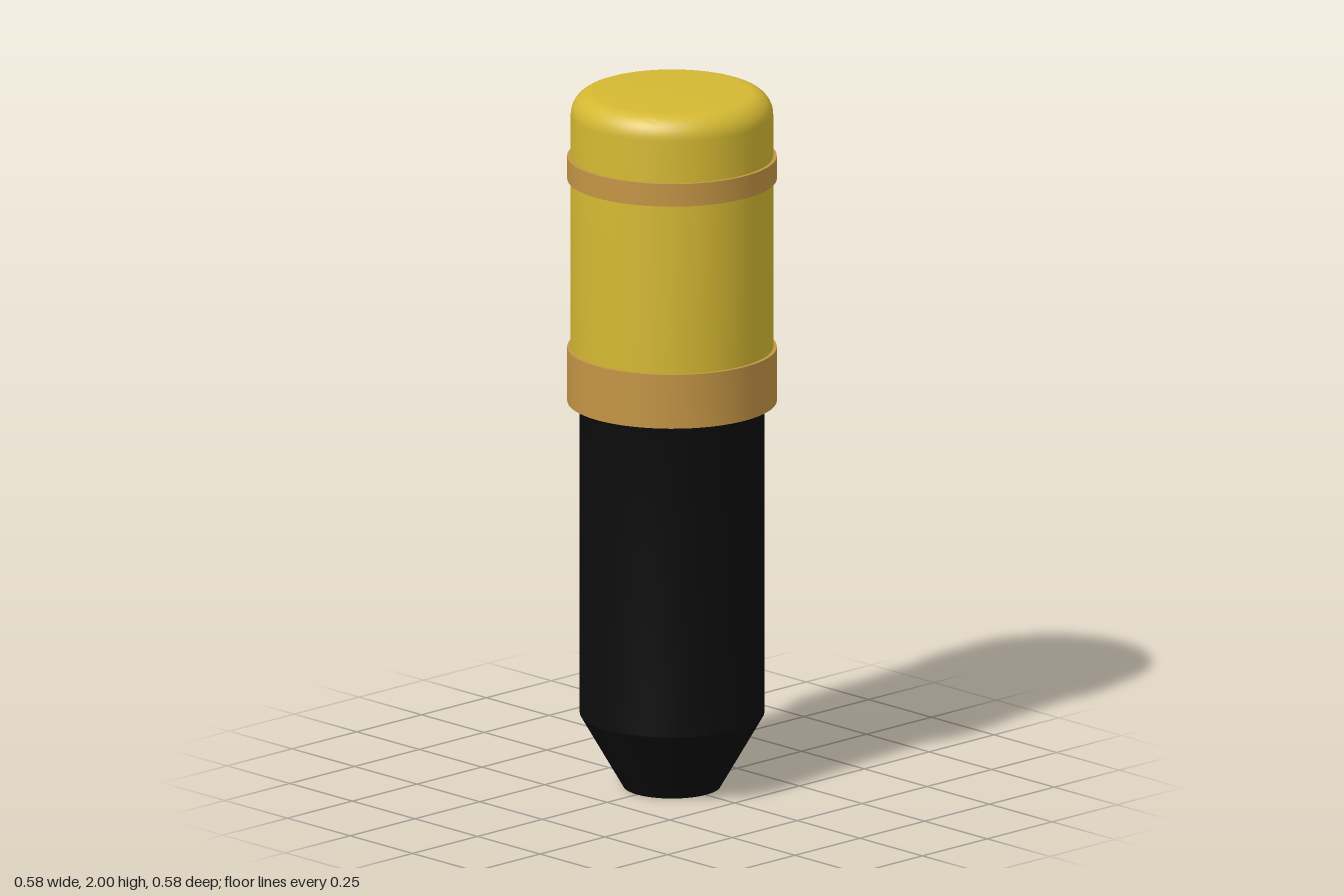
import * as THREE from 'three';
import { toCreasedNormals } from 'three/addons/utils/BufferGeometryUtils.js';

const SEGMENTS = 64;

// Revolve a [radius, y] profile, listed bottom to top
function turned(name, profile, material) {
  const points = profile.map(([r, y]) => new THREE.Vector2(r, y));
  const geometry = toCreasedNormals(new THREE.LatheGeometry(points, SEGMENTS), 0.4);
  const mesh = new THREE.Mesh(geometry, material);
  mesh.name = name;
  return mesh;
}

export function createModel() {
  const yellow = new THREE.MeshStandardMaterial({ name: 'yellow', color: 0xd4b832 });
  const bronze = new THREE.MeshStandardMaterial({ name: 'bronze', color: 0xc49545 });
  const black = new THREE.MeshStandardMaterial({ name: 'black', color: 0x0d0d0d });
  const model = new THREE.Group();
  model.name = 'capsule';

  // Tapered lower shaft with a small flare under the collar
  model.add(turned('shaft', [
    [0, 0], [0.135, 0], [0.256, 0.21], [0.256, 1.07], [0.268, 1.112], [0, 1.112],
  ], black));

  // Upper barrel with a rounded top edge
  const radius = 0.281, fillet = 0.065, steps = 10;
  const barrel = [[0, 1.12], [radius, 1.12]];
  for (let i = 0; i <= steps; i++) {
    const a = (i / steps) * Math.PI / 2;
    barrel.push([radius - fillet + fillet * Math.cos(a), 2 - fillet + fillet * Math.sin(a)]);
  }
  barrel.push([0, 2]);
  model.add(turned('barrel', barrel, yellow));

  // Wide collar and narrow upper ring
  for (const [name, y0, y1] of [['collar', 1.11, 1.265], ['upperRing', 1.75, 1.815]]) {
    model.add(turned(name, [
      [0.25, y0], [0.291, y0], [0.291, y1], [0.25, y1],
    ], bronze));
  }
  return model;
}
